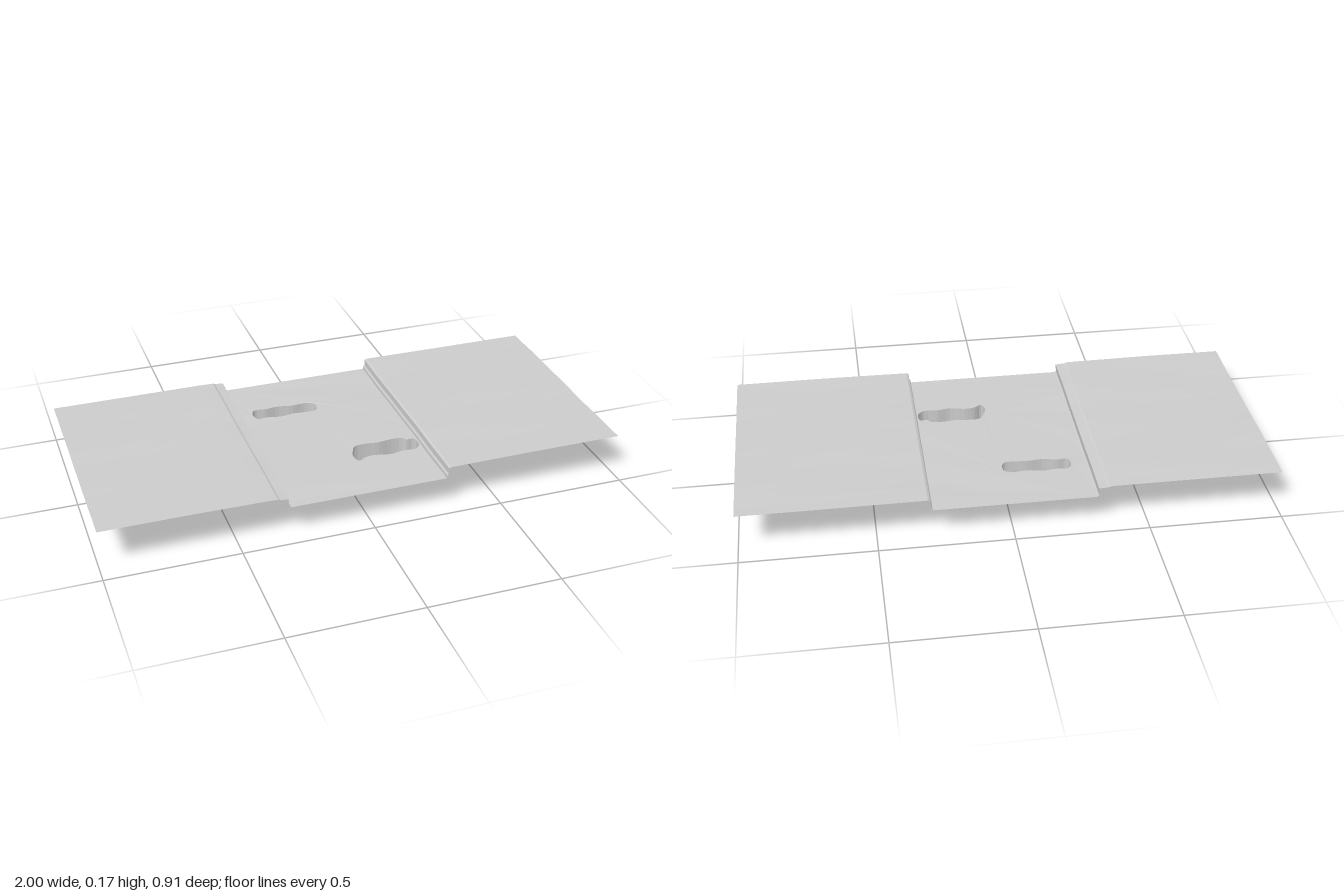
import * as THREE from 'three';

const HALF_Z = 0.455, ROWS = 20, BED_Y = 0.132;
const material = new THREE.MeshStandardMaterial({ color: 0xcccccc, flatShading: true, side: THREE.DoubleSide });

// Slight unevenness of the ground
const wave = (x, z) => 0.0013 * Math.sin(9 * z + 3 * x) + 0.0008 * Math.sin(23 * z - 5 * x);

function addMesh(group, name, geometry) {
  geometry.computeVertexNormals();
  const mesh = new THREE.Mesh(geometry, material);
  mesh.name = name;
  group.add(mesh);
}

// Sheet of quads whose points come from place(column, row)
function sheet(columns, rows, place) {
  const g = new THREE.PlaneGeometry(1, 1, columns, rows);
  const pos = g.attributes.position;
  for (let i = 0; i < pos.count; i++) {
    pos.setXYZ(i, ...place(i % (columns + 1), Math.floor(i / (columns + 1))));
  }
  return g;
}

// Cross-section [x, y] swept from back to front
function bank(profile) {
  return sheet(profile.length - 1, ROWS, (c, r) => {
    const [x, y] = profile[c];
    const z = -HALF_Z + (2 * HALF_Z * r) / ROWS;
    return [x, y + wave(x, z), z];
  });
}

// Flat outline [x, z] (with holes) laid at height y
function layer(outline, holes, y) {
  const toVectors = (pts) => pts.map(([x, z]) => new THREE.Vector2(x, -z));
  const shape = new THREE.Shape(toVectors(outline));
  shape.holes = holes.map((h) => new THREE.Path(toVectors(h)));
  const g = new THREE.ShapeGeometry(shape).rotateX(-Math.PI / 2);
  const pos = g.attributes.position;
  for (let i = 0; i < pos.count; i++) pos.setY(i, y + wave(pos.getX(i), pos.getZ(i)));
  return g;
}

function smoothOutline(points) {
  const curve = new THREE.CatmullRomCurve3(points.map(([x, z]) => new THREE.Vector3(x, 0, z)), true);
  return curve.getPoints(48).slice(0, -1).map((p) => [p.x, p.z]);
}

export function createModel() {
  const model = new THREE.Group();

  // Raised banks with the short steps down to the bed
  addMesh(model, 'rightBank', bank([
    [-1, 0.176], [-0.7, 0.176], [-0.4, 0.175], [-0.353, 0.174], [-0.345, 0.17],
    [-0.312, 0.168], [-0.313, 0.138], [-0.305, BED_Y],
  ]));
  addMesh(model, 'leftBank', bank([
    [0.296, BED_Y], [0.297, 0.143], [0.303, 0.15], [0.304, 0.173], [0.312, 0.177], [0.65, 0.178], [1, 0.177],
  ]));

  // Two wavy-edged pits
  const pits = [
    {
      name: 'backPit', floorY: 0.007,
      outline: smoothOutline([
        [-0.25, -0.235], [-0.235, -0.258], [-0.19, -0.254], [-0.14, -0.26], [-0.08, -0.249], [-0.03, -0.253],
        [0.005, -0.24], [0.01, -0.215], [0, -0.187], [-0.04, -0.183], [-0.09, -0.187], [-0.15, -0.181],
        [-0.2, -0.192], [-0.24, -0.19], [-0.251, -0.21],
      ]),
    },
    {
      name: 'frontPit', floorY: 0.012,
      outline: smoothOutline([
        [0.02, 0.205], [0.033, 0.16], [0.05, 0.134], [0.1, 0.13], [0.15, 0.135], [0.2, 0.129], [0.245, 0.135],
        [0.255, 0.15], [0.285, 0.153], [0.288, 0.2], [0.265, 0.222], [0.21, 0.22], [0.16, 0.229],
        [0.1, 0.216], [0.06, 0.221], [0.032, 0.237],
      ]),
    },
  ];
  for (const { name, floorY, outline } of pits) {
    const pit = new THREE.Group();
    pit.name = name;
    addMesh(pit, 'pitWall', sheet(outline.length, 1, (c, r) => {
      const [x, z] = outline[c % outline.length];
      return [x, (r ? floorY : BED_Y) + wave(x, z), z];
    }));
    addMesh(pit, 'pitFloor', layer(outline, [], floorY));
    model.add(pit);
  }

  // Sunken bed between the banks, pierced by the pits
  const bedOutline = [];
  for (let i = 0; i <= ROWS; i++) bedOutline.push([-0.305, -HALF_Z + (2 * HALF_Z * i) / ROWS]);
  for (let i = ROWS; i >= 0; i--) bedOutline.push([0.296, -HALF_Z + (2 * HALF_Z * i) / ROWS]);
  addMesh(model, 'bed', layer(bedOutline, pits.map((p) => p.outline), BED_Y));

  return model;
}
